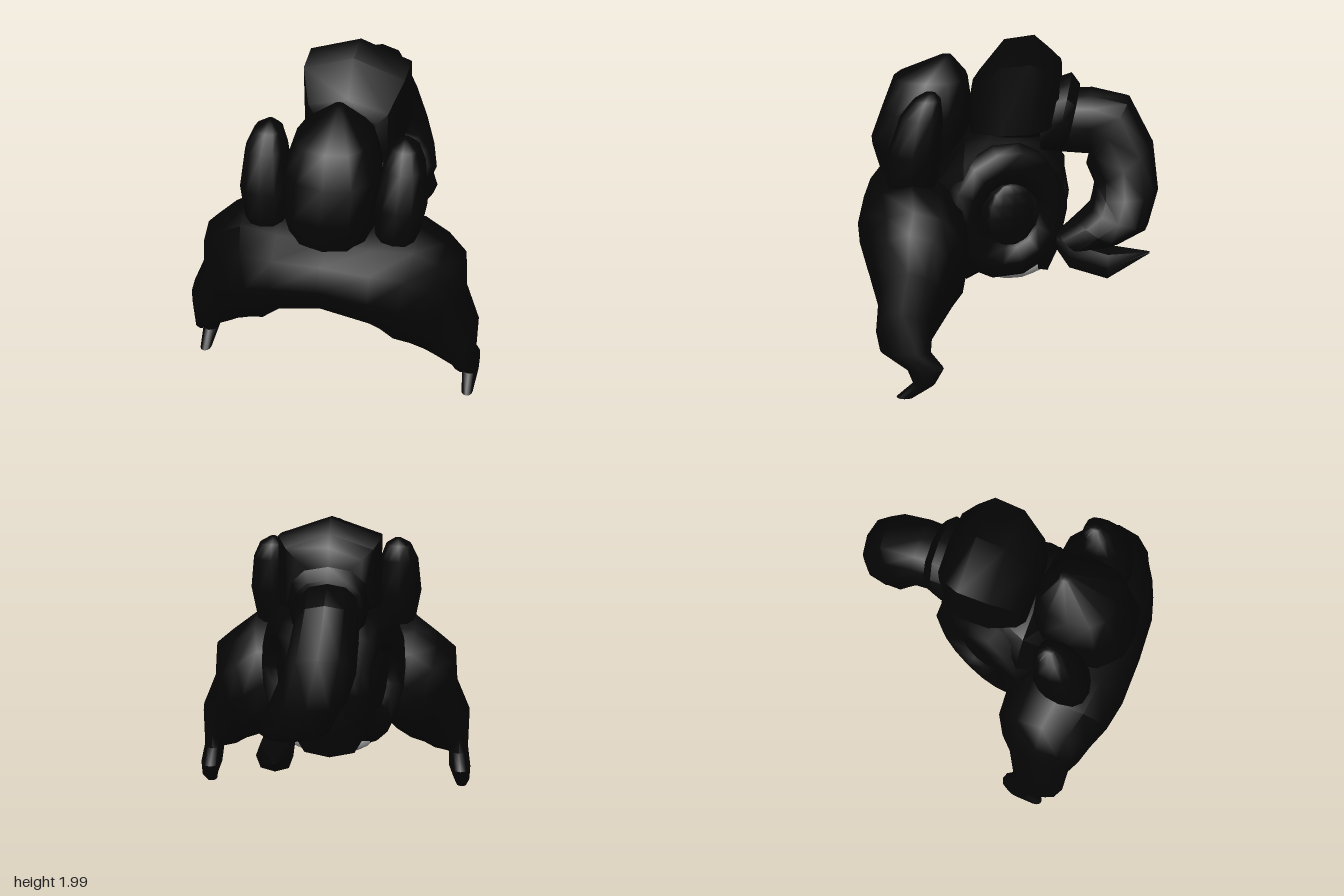
import * as THREE from 'three';
import { toCreasedNormals } from 'three/addons/utils/BufferGeometryUtils.js';

const black = new THREE.MeshStandardMaterial({ color: 0x050505 });
black.name = 'black hair';
const grey = new THREE.MeshStandardMaterial({ color: 0xb8b8b8 });
grey.name = 'grey lining';

// Closed loft through oval rings: [x, y, z, tilt, ru, rv].
// plane 'xy': u tilts in the xy plane, v runs along z; plane 'yz': u tilts in the yz plane, v runs along x.
function loft(rings, plane, sides = 12, power = 0.8) {
  const pos = [], idx = [];
  const bend = t => Math.sign(t) * Math.abs(t) ** power;
  for (const [x, y, z, a, ru, rv] of rings) {
    for (let i = 0; i < sides; i++) {
      const t = (i / sides) * Math.PI * 2;
      const u = bend(Math.cos(t)) * ru, v = bend(Math.sin(t)) * rv;
      if (plane === 'xy') pos.push(x + u * Math.sin(a), y + u * Math.cos(a), z + v);
      else pos.push(x + v, y + u * Math.cos(a), z + u * Math.sin(a));
    }
  }
  const last = rings.length - 1;
  for (let r = 0; r < last; r++) {
    for (let i = 0; i < sides; i++) {
      const a = r * sides + i, b = r * sides + (i + 1) % sides;
      idx.push(a, b, a + sides, b, b + sides, a + sides);
    }
  }
  // end caps
  const start = pos.length / 3;
  pos.push(...rings[0].slice(0, 3), ...rings[last].slice(0, 3));
  for (let i = 0; i < sides; i++) {
    const j = (i + 1) % sides;
    idx.push(start, j, i, start + 1, last * sides + i, last * sides + j);
  }
  // make every face point outwards
  const p = k => new THREE.Vector3().fromArray(pos, k * 3);
  let volume = 0;
  for (let k = 0; k < idx.length; k += 3) volume += p(idx[k]).dot(p(idx[k + 1]).cross(p(idx[k + 2])));
  if (volume < 0) idx.reverse();
  const geo = new THREE.BufferGeometry();
  geo.setAttribute('position', new THREE.Float32BufferAttribute(pos, 3));
  geo.setIndex(idx);
  return toCreasedNormals(geo, 0.9);
}

export function createModel() {
  const group = new THREE.Group();
  const add = (name, geo, mat = black) => {
    const mesh = new THREE.Mesh(geo, mat);
    mesh.name = name;
    group.add(mesh);
    return mesh;
  };
  const H = Math.PI / 2;

  // wide fringe roll, ending in a curled lock on each side
  const half = [
    [0.29, 0.88, 0.55, 0, 0.32, 0.35],
    [0.46, 0.82, 0.53, 0.16, 0.39, 0.33],
    [0.58, 0.74, 0.5, 0.24, 0.37, 0.3],
    [0.68, 0.67, 0.51, 0.3, 0.345, 0.25],
    [0.725, 0.535, 0.52, 0.3, 0.25, 0.195],
    [0.82, 0.41, 0.55, 0.44, 0.16, 0.165],
    [0.82, 0.29, 0.545, H, 0.065, 0.15],
    [0.83, 0.19, 0.43, H, 0.07, 0.11],
    [0.845, 0.1, 0.435, H, 0.052, 0.065],
    [0.85, 0.01, 0.55, H, 0.035, 0.05],
  ];
  const mirrored = half.map(([x, y, z, a, u, v]) => [-x, y, z, -a, u, v]).reverse();
  add('fringe', loft([...mirrored, [0, 0.92, 0.55, 0, 0.28, 0.36], ...half], 'xy', 12, 0.9));

  // back of the hair over the skull
  add('hairCap', loft([
    [0, 0.97, 0.4, 0, 0.3, 0.36],
    [0, 0.97, 0.24, 0, 0.475, 0.43],
    [0, 1.0, 0.1, 0, 0.44, 0.33],
    [0, 0.98, -0.05, 0, 0.43, 0.27],
    [0, 0.93, -0.25, 0, 0.41, 0.23],
    [0, 0.98, -0.335, 0, 0.26, 0.16],
  ], 'yz', 12, 0.58));

  // lining showing underneath
  const lining = add('lining', new THREE.SphereGeometry(1, 12, 8), grey);
  lining.position.set(0, 0.595, 0);
  lining.scale.set(0.29, 0.12, 0.26);

  for (const s of [-1, 1]) {
    // thick coil with a filled centre on each side
    const coil = add(s > 0 ? 'leftCoil' : 'rightCoil', new THREE.TorusGeometry(0.275, 0.12, 8, 14));
    coil.position.set(s * 0.24, 0.965, 0);
    coil.rotation.y = s * 1.97;
    coil.scale.y = 1.1;
    const centre = add(s > 0 ? 'leftCoilCentre' : 'rightCoilCentre', new THREE.SphereGeometry(1, 12, 8));
    centre.position.set(s * 0.265, 0.945, -0.04);
    centre.rotation.y = s * 1.97;
    centre.scale.set(0.17, 0.21, 0.05);

    // upright lobes flanking the front puff
    add(s > 0 ? 'leftLobe' : 'rightLobe', loft([
      [s * 0.39, 1.08, 0.55, H, 0.1, 0.12],
      [s * 0.39, 1.2, 0.55, H, 0.13, 0.15],
      [s * 0.4, 1.38, 0.52, H, 0.15, 0.16],
      [s * 0.405, 1.6, 0.48, H, 0.12, 0.125],
      [s * 0.4, 1.7, 0.445, H, 0.08, 0.08],
      [s * 0.395, 1.74, 0.43, H, 0.02, 0.03],
    ], 'xy'));
  }

  // tall puff at the front
  add('frontPuff', loft([
    [0, 1.1, 0.54, H, 0.24, 0.24],
    [0, 1.35, 0.55, H, 0.28, 0.3],
    [0, 1.55, 0.5, H, 0.28, 0.275],
    [0, 1.74, 0.475, H, 0.22, 0.225],
    [0, 1.87, 0.38, H, 0.03, 0.03],
  ], 'xy'));

  // crown bun, six-sided with a ridge along the top
  add('crownBun', loft([
    [0, 1.55, 0.22, 0, 0.17, 0.2],
    [0, 1.58, 0.18, 0, 0.2, 0.26],
    [0, 1.66, 0.03, 0, 0.31, 0.33],
    [0, 1.68, -0.15, 0, 0.32, 0.335],
    [0, 1.66, -0.24, 0, 0.265, 0.28],
    [0, 1.65, -0.31, 0, 0.21, 0.21],
  ], 'yz', 6, 0.6));

  // band gathering the ponytail
  add('ponytailBand', loft([
    [0, 1.5, -0.2, 0, 0.2, 0.22],
    [0, 1.53, -0.33, -0.2, 0.24, 0.24],
    [0, 1.51, -0.39, -0.2, 0.19, 0.21],
  ], 'yz'));

  // ponytail curling down and round to the left
  add('ponytail', loft([
    [0, 1.48, -0.28, 0, 0.19, 0.18],
    [0, 1.48, -0.5, 0, 0.2, 0.19],
    [0, 1.42, -0.6, -0.53, 0.25, 0.19],
    [0.03, 1.23, -0.7, -0.92, 0.22, 0.21],
    [0.09, 1.065, -0.715, -1.5, 0.2, 0.22],
    [0.16, 0.94, -0.68, -1.92, 0.19, 0.21],
    [0.22, 0.87, -0.56, -2.1, 0.15, 0.19],
    [0.27, 0.79, -0.39, -2.3, 0.1, 0.1],
  ], 'yz'));

  // pointed flick at the end of the ponytail
  add('ponytailTip', loft([
    [0.26, 0.79, -0.31, 0, 0.05, 0.05],
    [0.28, 0.73, -0.39, 0, 0.1, 0.09],
    [0.3, 0.68, -0.62, 0, 0.1, 0.11],
    [0.28, 0.74, -0.87, 0, 0.005, 0.01],
  ], 'yz', 8));

  return group;
}
